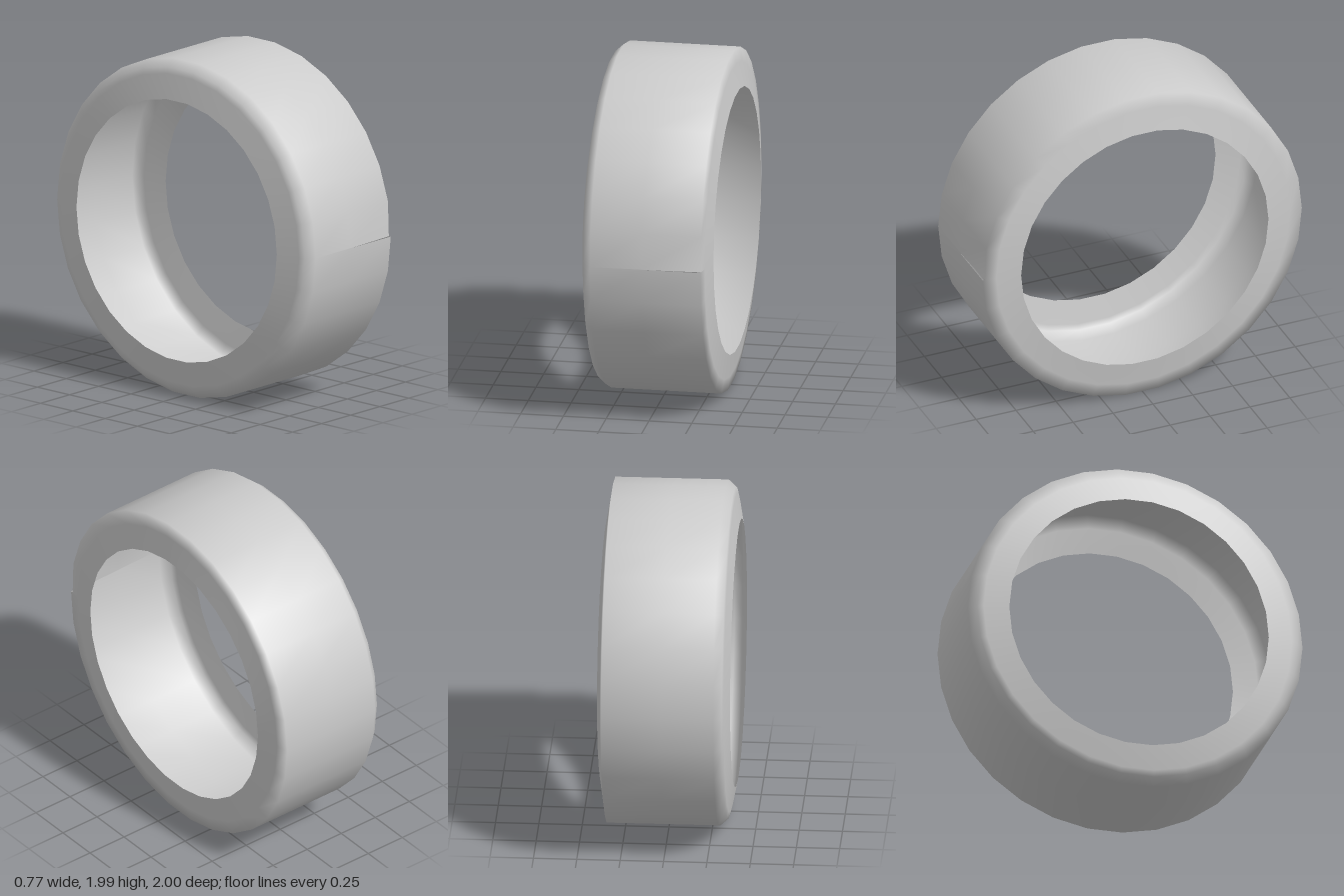
import * as THREE from 'three';

const SEGMENTS = 30;
// Cross-section as [radius, position along the axle, depth of the seam step]
const PROFILE = [
  [0.775, -0.385, 0],
  [0.92, -0.357, 0],
  [0.957, -0.348, 0],
  [1.0, -0.30, 0],
  [1.0, 0.0, 0.006],
  [1.0, 0.345, 0.015],
  [0.92, 0.357, 0],
  [0.775, 0.382, 0],
];

export function createModel() {
  const group = new THREE.Group();
  group.name = 'tyre';

  const points = PROFILE.map(([r, x]) => new THREE.Vector2(r, x));
  const geometry = new THREE.LatheGeometry(points, SEGMENTS);
  const n = PROFILE.length;
  const last = SEGMENTS * n;
  const pos = geometry.attributes.position;

  // The last ring sits slightly lower, leaving a shallow tapering step at the seam
  PROFILE.forEach(([r, , step], j) => pos.setZ(last + j, r - step));

  // Weld the seam where there is no step, and close it with a ledge elsewhere
  const weld = (i) => (i >= last && PROFILE[i - last][2] === 0 ? i - last : i);
  const index = Array.from(geometry.index.array, weld);
  for (let j = 0; j < n - 1; j++) {
    const a = weld(last + j), d = weld(last + j + 1);
    if (a !== j) index.push(a, j, d);
    if (d !== j + 1) index.push(j + 1, d, j);
  }
  geometry.setIndex(index);

  // Lay the axle along x and stand the tyre on the ground
  geometry.rotateZ(-Math.PI / 2);
  geometry.translate(0, 1, 0);
  geometry.computeVertexNormals();

  // Open thin shell: tread and both sidewalls
  const shell = new THREE.Mesh(
    geometry,
    new THREE.MeshStandardMaterial({ color: 0xcccccc, side: THREE.DoubleSide })
  );
  shell.name = 'tyreShell';
  group.add(shell);
  return group;
}
